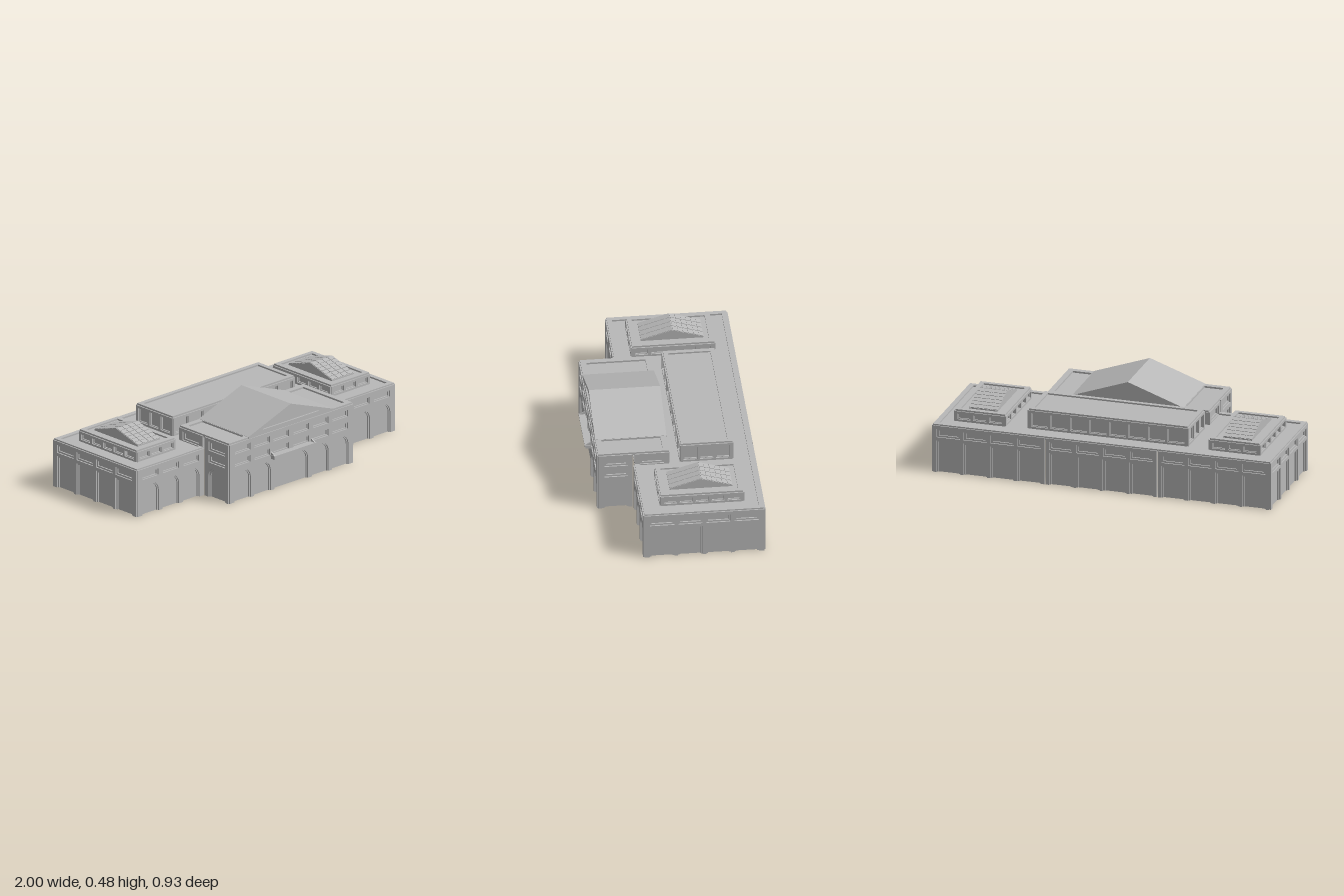
import * as THREE from 'three';

const stone = new THREE.MeshStandardMaterial({ color: 0xb8b8b8, side: THREE.DoubleSide });
stone.name = 'greyStone';

function add(parent, name, geometry, x = 0, y = 0, z = 0) {
  const mesh = new THREE.Mesh(geometry, stone);
  mesh.name = name;
  mesh.position.set(x, y, z);
  parent.add(mesh);
  return mesh;
}

function box(parent, name, x0, x1, y0, y1, z0, z1) {
  return add(parent, name, new THREE.BoxGeometry(x1 - x0, y1 - y0, z1 - z0),
    (x0 + x1) / 2, (y0 + y1) / 2, (z0 + z1) / 2);
}

const extrude = (shape, depth) =>
  new THREE.ExtrudeGeometry(shape, { depth, bevelEnabled: false, curveSegments: 8 });

const polygon = (points) => new THREE.Shape(points.map(([x, y]) => new THREE.Vector2(x, y)));

const rectangle = (x0, x1, y0, y1) => polygon([[x0, y0], [x1, y0], [x1, y1], [x0, y1]]);

// Wall outline with ground openings {x, w, top, r} notched in and windows {x, w, y0, y1} cut out
function wallShape(width, height, doors, windows, inset) {
  const s = new THREE.Shape();
  s.moveTo(-width / 2, 0);
  for (const d of doors) {
    const l = d.x - d.w / 2 + inset, r = d.x + d.w / 2 - inset;
    const top = d.top - inset, rad = Math.max(0, d.r - inset);
    s.lineTo(l, 0);
    s.lineTo(l, top - rad);
    if (rad > 0) s.absarc(l + rad, top - rad, rad, Math.PI, Math.PI / 2, true);
    else s.lineTo(l, top);
    if (rad > 0) s.absarc(r - rad, top - rad, rad, Math.PI / 2, 0, true);
    else s.lineTo(r, top);
    s.lineTo(r, 0);
  }
  s.lineTo(width / 2, 0);
  s.lineTo(width / 2, height);
  s.lineTo(-width / 2, height);
  for (const w of windows) {
    s.holes.push(rectangle(w.x - w.w / 2 + inset, w.x + w.w / 2 - inset, w.y0 + inset, w.y1 - inset));
  }
  return s;
}

// Wall whose outer face passes through x, z and looks along the given turn about y
function wall(parent, name, { x, z, turn = 0, y = 0, width, height, doors = [], windows = [], step = 0.01 }) {
  const g = new THREE.Group();
  g.name = name;
  g.position.set(x, y, z);
  g.rotation.y = turn;
  add(g, 'outerFrame', extrude(wallShape(width, height, doors, windows, 0), 0.008), 0, 0, -0.008);
  add(g, 'innerFrame', extrude(wallShape(width, height, doors, windows, step), 0.008), 0, 0, -0.016);
  add(g, 'backPanel', new THREE.BoxGeometry(width - 0.012, height, 0.006), 0, height / 2, -0.019);
  parent.add(g);
}

// Flat rectangular coping
function ring(parent, name, x0, x1, z0, z1, t, y, h) {
  const s = rectangle(x0, x1, -z1, -z0);
  s.holes.push(rectangle(x0 + t, x1 - t, -z1 + t, -z0 - t));
  add(parent, name, extrude(s, h).rotateX(-Math.PI / 2), 0, y, 0);
}

const spread = (n, pitch) => Array.from({ length: n }, (_, i) => (i - (n - 1) / 2) * pitch);
const rowOf = (xs, w, y0, y1) => xs.map((x) => ({ x, w, y0, y1 }));
const arches = (xs) => xs.map((x) => ({ x, w: 0.128, top: 0.183, r: 0.064 }));

// Raised roof storey with windows all round
function tier(parent, name, x0, x1, z0, z1, y0, y1, nx, nz) {
  const g = new THREE.Group();
  g.name = name;
  parent.add(g);
  const cx = (x0 + x1) / 2, cz = (z0 + z1) / 2, height = y1 - y0 - 0.01;
  const side = (n, length) => ({
    width: length - 0.012, height, y: y0, step: 0.004,
    windows: rowOf(spread(n, (length - 0.03) / n), (length - 0.03) / n - 0.015, 0.018, height - 0.014),
  });
  wall(g, 'frontSide', { x: cx, z: z1, ...side(nx, x1 - x0) });
  wall(g, 'backSide', { x: cx, z: z0, turn: Math.PI, ...side(nx, x1 - x0) });
  wall(g, 'leftSide', { x: x1, z: cz, turn: Math.PI / 2, ...side(nz, z1 - z0) });
  wall(g, 'rightSide', { x: x0, z: cz, turn: -Math.PI / 2, ...side(nz, z1 - z0) });
  ring(g, 'coping', x0 + 0.007, x1 - 0.007, z0 + 0.007, z1 - 0.007, 0.026, y1 - 0.01, 0.01);
  box(g, 'roofDeck', x0 + 0.015, x1 - 0.015, y1 - 0.016, y1 - 0.009, z0 + 0.015, z1 - 0.015);
}

// Tiled gable skylight with its ridge along x
function skylight(parent, cx) {
  const g = new THREE.Group();
  g.name = 'skylight';
  g.position.set(cx, 0, -0.118);
  parent.add(g);
  const half = 0.177, rise = 0.053, w = 0.17, base = 0.343;
  const s = polygon([[-half, base - 0.012], [half, base - 0.012], [half, base], [0, base + rise], [-half, base]]);
  add(g, 'gable', extrude(s, w).rotateY(Math.PI / 2), -w / 2, 0, 0);
  const slope = Math.atan2(rise, half), length = Math.hypot(rise, half);
  for (const dir of [1, -1]) {
    for (let row = 0; row < 6; row++) {
      for (const x of spread(4, w / 4)) {
        const t = (row + 0.5) / 6;
        const pane = add(g, 'pane', new THREE.BoxGeometry(w / 4 - 0.005, 0.006, length / 6 - 0.004),
          x, base + rise * (1 - t), dir * half * t);
        pane.rotation.x = dir * slope;
      }
    }
  }
}

export function createModel() {
  const model = new THREE.Group();
  model.name = 'stationBuilding';

  // Main hall: four-bay wall sections at the sides and back
  const bays = {
    height: 0.277,
    doors: spread(4, 0.159).map((x) => ({ x, w: 0.139, top: 0.19, r: 0 })),
    windows: rowOf(spread(4, 0.159), 0.137, 0.209, 0.257),
  };
  for (const side of [1, -1]) {
    wall(model, 'hallSideWall', { x: side, z: -0.12, turn: side * Math.PI / 2, width: 0.676, ...bays });
  }
  for (const x of [-0.662, 0, 0.662]) {
    wall(model, 'hallBackWall', { x, z: -0.465, turn: Math.PI, width: 0.655, ...bays });
  }
  box(model, 'hallRoof', -0.98, 0.98, 0.268, 0.276, -0.445, 0.205);
  ring(model, 'hallCoping', -0.993, 0.993, -0.458, 0.218, 0.028, 0.275, 0.01);

  // Arched wings either side of the entrance block
  const wingXs = spread(3, 0.157);
  for (const side of [1, -1]) {
    wall(model, 'wingFrontWall', {
      x: side * 0.737, z: 0.225, width: 0.512, height: 0.277, step: 0.006,
      doors: arches(wingXs), windows: rowOf(wingXs, 0.122, 0.213, 0.252),
    });
  }

  // Entrance block
  const frontXs = [-0.377, -0.225, -0.077, 0.077, 0.225, 0.377];
  wall(model, 'entranceFrontWall', {
    x: 0, z: 0.43, width: 0.952, height: 0.35, step: 0.006,
    doors: [...arches([-0.377, -0.223]), { x: 0, w: 0.258, top: 0.183, r: 0.064 }, ...arches([0.223, 0.377])],
    windows: [...rowOf(frontXs, 0.12, 0.213, 0.252), ...rowOf(frontXs, 0.12, 0.287, 0.327)],
  });
  for (const side of [1, -1]) {
    wall(model, 'entranceSideWall', {
      x: side * 0.483, z: 0.327, turn: side * Math.PI / 2, width: 0.193, height: 0.35,
      doors: [{ x: 0.005, w: 0.139, top: 0.188, r: 0.069 }],
      windows: [...rowOf([0.005], 0.134, 0.207, 0.252), ...rowOf([0.005], 0.134, 0.278, 0.333)],
    });
    wall(model, 'entranceRearSideWall', {
      x: side * 0.483, z: 0.12, turn: side * Math.PI / 2, y: 0.27, width: 0.193, height: 0.08,
      windows: rowOf([0], 0.134, 0.012, 0.063),
    });
    // Side terraces with copings
    const [x0, x1] = side > 0 ? [0.3, 0.476] : [-0.476, -0.3];
    ring(model, 'terraceCoping', x0, x1, 0.025, 0.423, 0.032, 0.348, 0.012);
    box(model, 'terraceDeck', x0, x1, 0.342, 0.35, 0.03, 0.415);
  }
  box(model, 'entranceRearWall', -0.476, 0.476, 0.27, 0.35, 0.022, 0.034);

  // Pediment and its pitched roof
  const gable = [[-0.328, 0.346], [0.328, 0.346], [0.328, 0.36], [0, 0.475], [-0.328, 0.36]];
  const pediment = polygon(gable);
  pediment.holes.push(polygon([[-0.22, 0.377], [0.22, 0.377], [0, 0.456]]));
  add(model, 'pedimentFrame', extrude(pediment, 0.01), 0, 0, 0.415);
  add(model, 'pedimentPanel', extrude(polygon(gable), 0.006), 0, 0, 0.408);
  add(model, 'rearGable', extrude(polygon(gable), 0.008), 0, 0, 0.022);
  const chevron = polygon([[-0.328, 0.348], [0, 0.464], [0.328, 0.348], [0.328, 0.361], [0, 0.477], [-0.328, 0.361]]);
  add(model, 'pitchedRoof', extrude(chevron, 0.403), 0, 0, 0.022);

  // Entrance canopy with raised rim and sloping stays
  box(model, 'canopySlab', -0.158, 0.158, 0.189, 0.205, 0.425, 0.46);
  box(model, 'canopyRim', -0.162, 0.162, 0.205, 0.213, 0.425, 0.465);
  const stay = polygon([[0, 0.212], [0.033, 0.212], [0, 0.232]]);
  for (const x of [-0.155, 0.155]) {
    add(model, 'canopyStay', extrude(stay, 0.008).rotateY(-Math.PI / 2), x + 0.004, 0, 0.428);
  }

  // Roof storeys and skylights
  tier(model, 'clerestory', -0.475, 0.475, -0.342, -0.037, 0.27, 0.393, 8, 3);
  for (const side of [1, -1]) {
    const [x0, x1] = side > 0 ? [0.597, 0.904] : [-0.904, -0.597];
    tier(model, 'roofLantern', x0, x1, -0.356, 0.122, 0.27, 0.345, 3, 5);
    skylight(model, side * 0.75);
  }
  return model;
}
